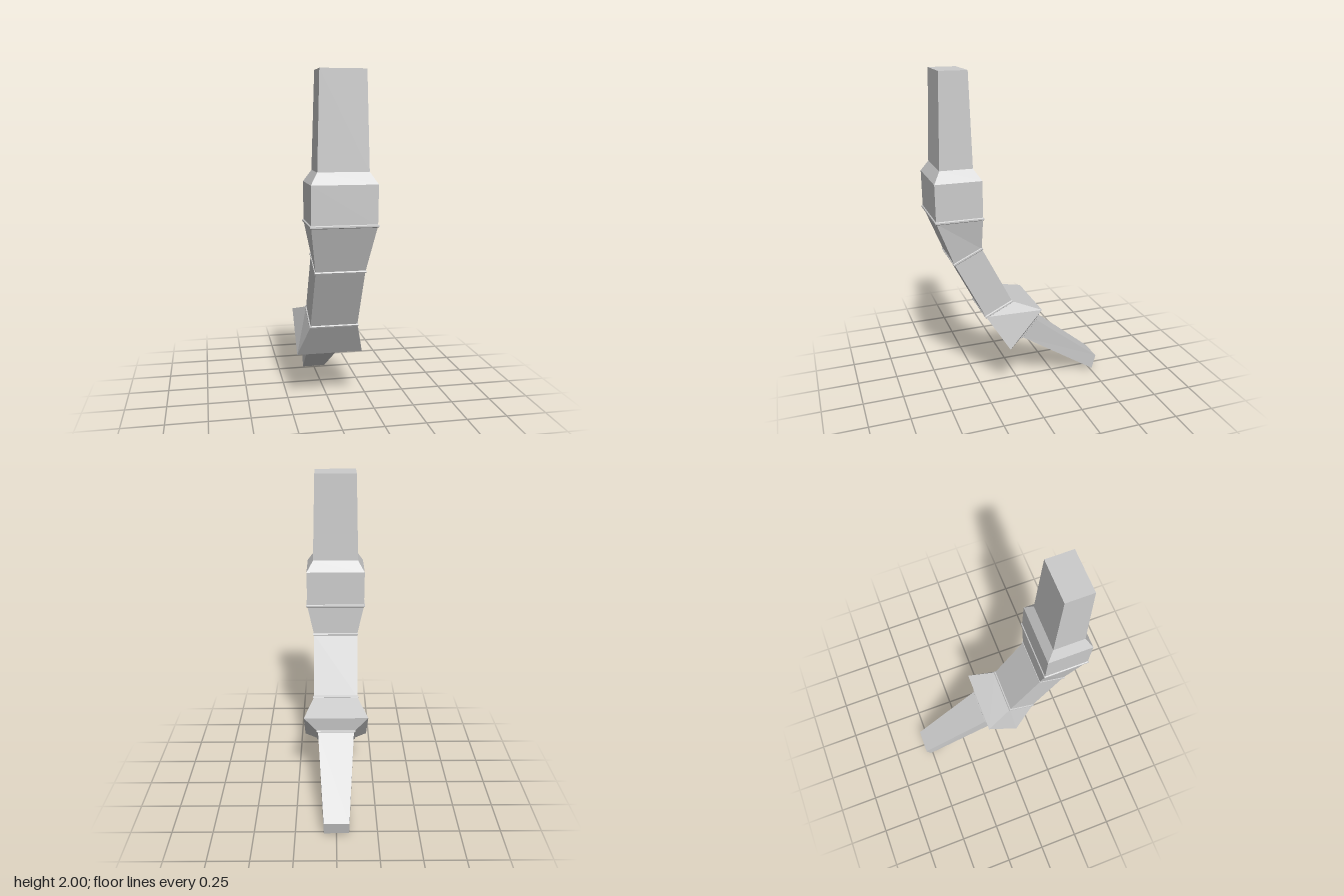
import * as THREE from 'three';

const material = new THREE.MeshStandardMaterial({ color: 0xcccccc, flatShading: true });

// A ring is [frontZ, frontY, backZ, backY, halfWidth]: a rectangle across the limb
const corners = ([fz, fy, bz, by, w]) => [
  [-w, fy, fz], [w, fy, fz], [w, by, bz], [-w, by, bz],
];

// Joins rings, listed from the top down, into a closed four-sided solid
function loft(name, rings) {
  const loops = rings.map(corners);
  const pos = [];
  const quad = (a, b, c, d) => pos.push(...a, ...b, ...c, ...a, ...c, ...d);
  for (let r = 0; r < loops.length - 1; r++) {
    const a = loops[r], b = loops[r + 1];
    for (let i = 0; i < 4; i++) {
      const j = (i + 1) % 4;
      quad(a[i], b[i], b[j], a[j]);
    }
  }
  const first = loops[0], last = loops[loops.length - 1];
  quad(first[0], first[1], first[2], first[3]);
  quad(last[3], last[2], last[1], last[0]);
  const geometry = new THREE.BufferGeometry();
  geometry.setAttribute('position', new THREE.Float32BufferAttribute(pos, 3));
  geometry.computeVertexNormals();
  const mesh = new THREE.Mesh(geometry, material);
  mesh.name = name;
  return mesh;
}

// Thin bevelled band that stands slightly proud of a joint
function band(name, [fz, fy, bz, by, w], lip = 0.006, half = 0.009) {
  const len = Math.hypot(fz - bz, fy - by);
  const dz = (fz - bz) / len, dy = (fy - by) / len;
  const ring = (along, out) => [
    fz + dz * out + dy * along, fy + dy * out - dz * along,
    bz - dz * out + dy * along, by - dy * out - dz * along, w + out,
  ];
  return loft(name, [
    ring(-half, 0), ring(-half / 2, lip), ring(half / 2, lip), ring(half, 0),
  ]);
}

export function createModel() {
  const group = new THREE.Group();
  group.name = 'jointedLimb';

  // Joint cross-sections shared by neighbouring segments
  const upperJoint = [0.535, 1.177, 0.263, 1.177, 0.182];
  const kneeJoint = [0.428, 0.903, 0.262, 0.982, 0.141];
  const lowerJoint = [0.242, 0.537, 0.075, 0.618, 0.141];
  const tipJoint = [0.007, 0.348, -0.085, 0.457, 0.118];

  group.add(
    loft('upperShaft', [
      [0.48, 2, 0.318, 2, 0.127],
      [0.497, 1.465, 0.305, 1.465, 0.142],
      [0.537, 1.4, 0.263, 1.4, 0.183],
      upperJoint,
    ]),
    loft('taperedJoint', [upperJoint, kneeJoint]),
    loft('middleShaft', [kneeJoint, lowerJoint]),
    // Flares to a wide rim, then closes in around the tip
    loft('flaredCollar', [
      lowerJoint,
      [0.107, 0.322, -0.097, 0.56, 0.203],
      tipJoint,
    ]),
    loft('taperedTip', [
      tipJoint,
      [-0.003, 0.345, -0.095, 0.451, 0.114],
      [-0.515, 0.002, -0.54, 0.094, 0.077],
    ]),
    band('upperBand', upperJoint),
    band('kneeBand', kneeJoint),
    band('lowerBand', lowerJoint),
    band('tipBand', tipJoint),
  );
  return group;
}
